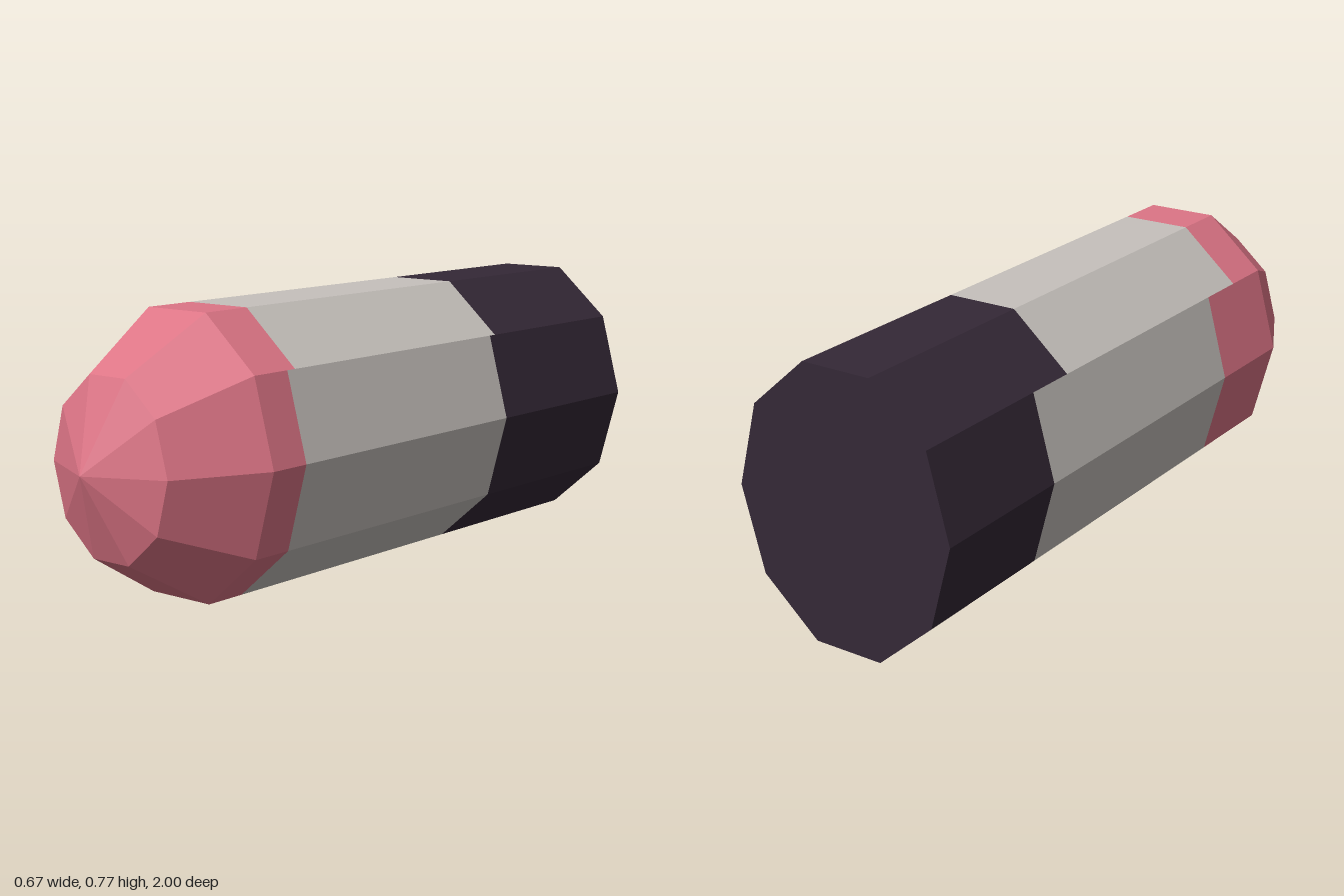
import * as THREE from 'three';

const SIDES = 10, RX = 0.334, RY = 0.405, CY = 0.385;

const pink = new THREE.MeshStandardMaterial({ color: 0xdd7586 });
pink.name = 'rose';
const grey = new THREE.MeshStandardMaterial({ color: 0xc6c1bc });
grey.name = 'warm grey';
const dark = new THREE.MeshStandardMaterial({ color: 0x342836 });
dark.name = 'dark plum';

// Corner i of the oval ten-sided cross-section at depth z
function corner(i, z, scale = 1) {
  const a = (i * Math.PI * 2) / SIDES;
  return [Math.cos(a) * RX * scale, CY + Math.sin(a) * RY * scale, z];
}

// One flat side panel running from (z0, s0) at the front to (z1, s1) behind
function panel(i, z0, z1, s0 = 1, s1 = 1) {
  const a0 = corner(i, z0, s0), b0 = corner(i + 1, z0, s0);
  const a1 = corner(i, z1, s1), b1 = corner(i + 1, z1, s1);
  return [a0, a1, b1, a0, b1, b0].flat();
}

function part(name, positions, material) {
  const geometry = new THREE.BufferGeometry();
  geometry.setAttribute('position', new THREE.Float32BufferAttribute(positions, 3));
  geometry.computeVertexNormals(); // unshared corners give flat facets
  const mesh = new THREE.Mesh(geometry, material);
  mesh.name = name;
  return mesh;
}

export function createModel() {
  const group = new THREE.Group();
  group.name = 'roundNosedCylinder';

  // Where the colour bands change, counter-clockwise from the left side
  const right = [0.345, -0.555], upper = [0.495, -0.4], left = [0.525, -0.375];
  const bands = [left, upper, upper, upper, right, right, right, right, left, left];

  const tip = [], nose = [], collar = [], body = [], tail = [], cap = [];
  for (let i = 0; i < SIDES; i++) {
    const [front, back] = bands[i];
    tip.push(0, CY, 1, ...corner(i, 0.9, 0.622), ...corner(i + 1, 0.9, 0.622));
    nose.push(...panel(i, 0.9, 0.65, 0.622, 1));
    collar.push(...panel(i, 0.65, front));
    body.push(...panel(i, front, back));
    tail.push(...panel(i, back, -1));
    cap.push(0, CY, -1, ...corner(i + 1, -1), ...corner(i, -1));
  }

  group.add(
    part('noseTip', tip, pink),
    part('noseTaper', nose, pink),
    part('noseCollar', collar, pink),
    part('middleBody', body, grey),
    part('tailBody', tail, dark),
    part('tailCap', cap, dark),
  );
  return group;
}
